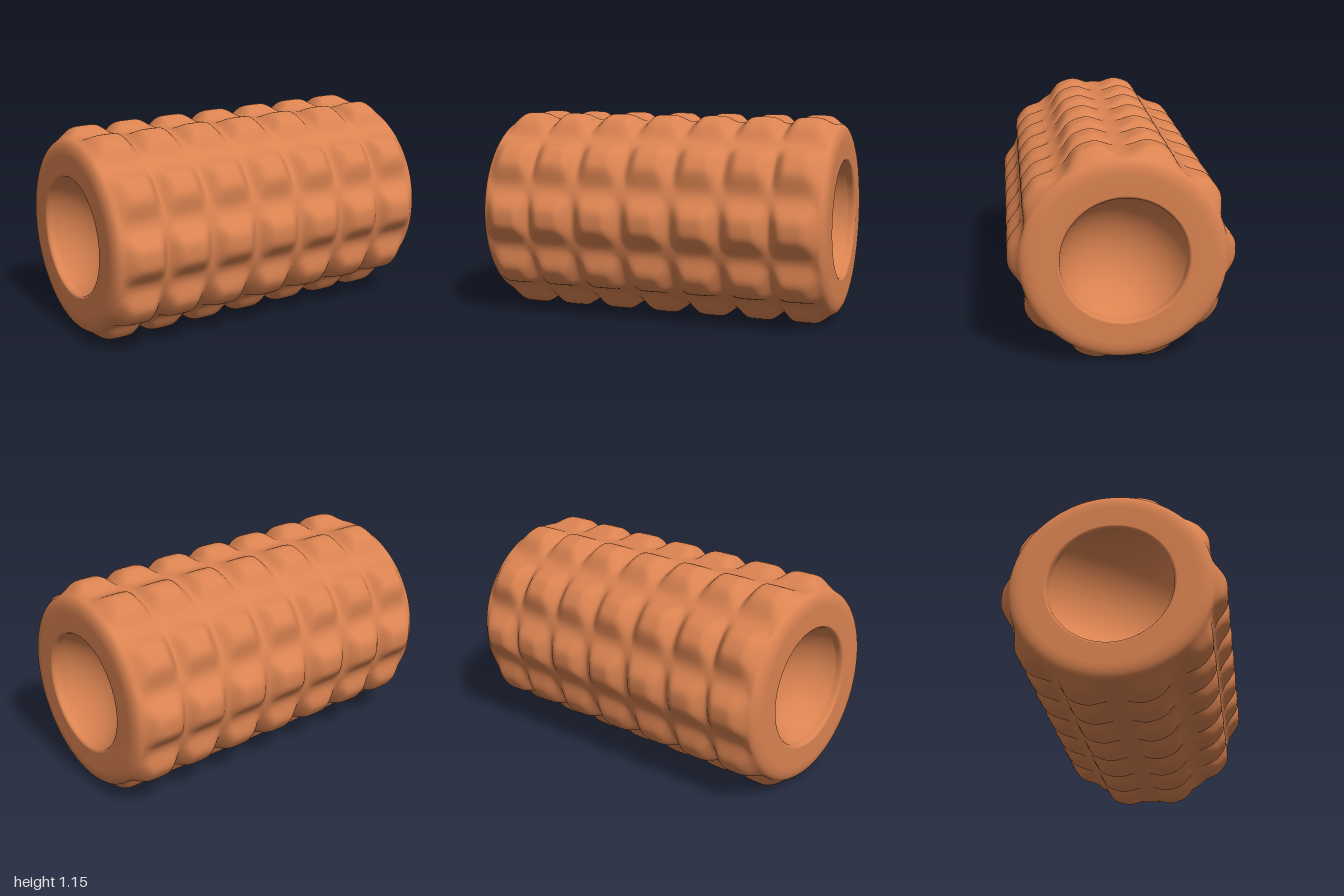
import * as THREE from 'three';

const SEG = 220;          // sides around the axis
const BODY = 0.533;       // radius between the knobs
const EDGE_X = 0.04;      // end rounding along the axis
const EDGE_R = 0.08;      // end rounding across the radius
const AXIS_Y = 0.567;     // height of the axis
const KNOB_STEP = Math.PI / 5;   // ten knobs around
// knob columns along the axis
const COLUMNS = [-0.82, -0.565, -0.285, 0, 0.285, 0.565, 0.82];

// height of the crowned knobs at a point of the surface
function knobHeight(x, angle) {
  const v = Math.abs(angle - Math.round(angle / KNOB_STEP) * KNOB_STEP) / 0.31;
  for (const cx of COLUMNS) {
    // end knobs are narrower inside and fade out towards the rim
    const isEnd = Math.abs(cx) > 0.7;
    const half = !isEnd ? 0.14 : Math.abs(x) > Math.abs(cx) ? 0.155 : 0.125;
    const u = Math.abs(x - cx) / half;
    const q = Math.pow(u ** 6 + v ** 4, 0.25);
    if (q < 1) {
      return (0.058 - 0.018 * v * v - 0.006 * u * u) * (1 - THREE.MathUtils.smoothstep(q, 0.2, 1));
    }
  }
  return 0;
}

// outer skin: rings along x, closed around the axis
function knobbedShell() {
  const rings = [];
  const flat = 1 - EDGE_X;
  for (let i = 0; i < 8; i++) {
    const a = (i / 8) * Math.PI / 2;
    rings.push([-flat - EDGE_X * Math.cos(a), BODY - EDGE_R + EDGE_R * Math.sin(a)]);
  }
  const n = 190;
  for (let i = 0; i <= n; i++) rings.push([-flat + (2 * flat * i) / n, BODY]);
  for (let i = 7; i >= 0; i--) rings.push([-rings[i][0], rings[i][1]]);

  const pos = [], index = [];
  rings.forEach(([x, r], i) => {
    for (let j = 0; j < SEG; j++) {
      const a = (j / SEG) * Math.PI * 2;
      const R = r + knobHeight(x, a);
      pos.push(x, R * Math.sin(a), R * Math.cos(a));
      if (i === 0) continue;
      const k = (j + 1) % SEG;
      const p = (i - 1) * SEG, c = i * SEG;
      index.push(p + j, c + j, p + k, c + j, c + k, p + k);
    }
  });
  const g = new THREE.BufferGeometry();
  g.setAttribute('position', new THREE.Float32BufferAttribute(pos, 3));
  g.setIndex(index);
  g.computeVertexNormals();
  return g;
}

// flat end ring, small rounded lip and shallow bowl
function endCap() {
  const pts = [[BODY - EDGE_R, 1], [0.4, 1], [0.342, 1], [0.338, 0.999], [0.332, 0.995],
    [0.328, 0.988], [0.326, 0.975], [0.324, 0.96]];
  const R = 0.36;
  const rim = Math.asin(0.322 / R);
  const centre = 0.955 + R * Math.cos(rim);
  for (let i = 0; i <= 14; i++) {
    const a = rim * (1 - i / 14);
    pts.push([R * Math.sin(a), centre - R * Math.cos(a)]);
  }
  return new THREE.LatheGeometry(pts.map(([r, y]) => new THREE.Vector2(r, y)), SEG);
}

export function createModel() {
  const foam = new THREE.MeshStandardMaterial({ color: 0xdb8351 });
  foam.name = 'terracotta foam';

  const model = new THREE.Group();
  model.name = 'massageRoller';

  const shell = new THREE.Mesh(knobbedShell(), foam);
  shell.name = 'knobbedShell';
  model.add(shell);

  for (const side of [1, -1]) {
    const cap = new THREE.Mesh(endCap().rotateZ(-side * Math.PI / 2), foam);
    cap.name = side > 0 ? 'leftEndCap' : 'rightEndCap';
    model.add(cap);
  }

  // rest the roller on the ground
  model.children.forEach((m) => { m.position.y = AXIS_Y; });
  return model;
}
